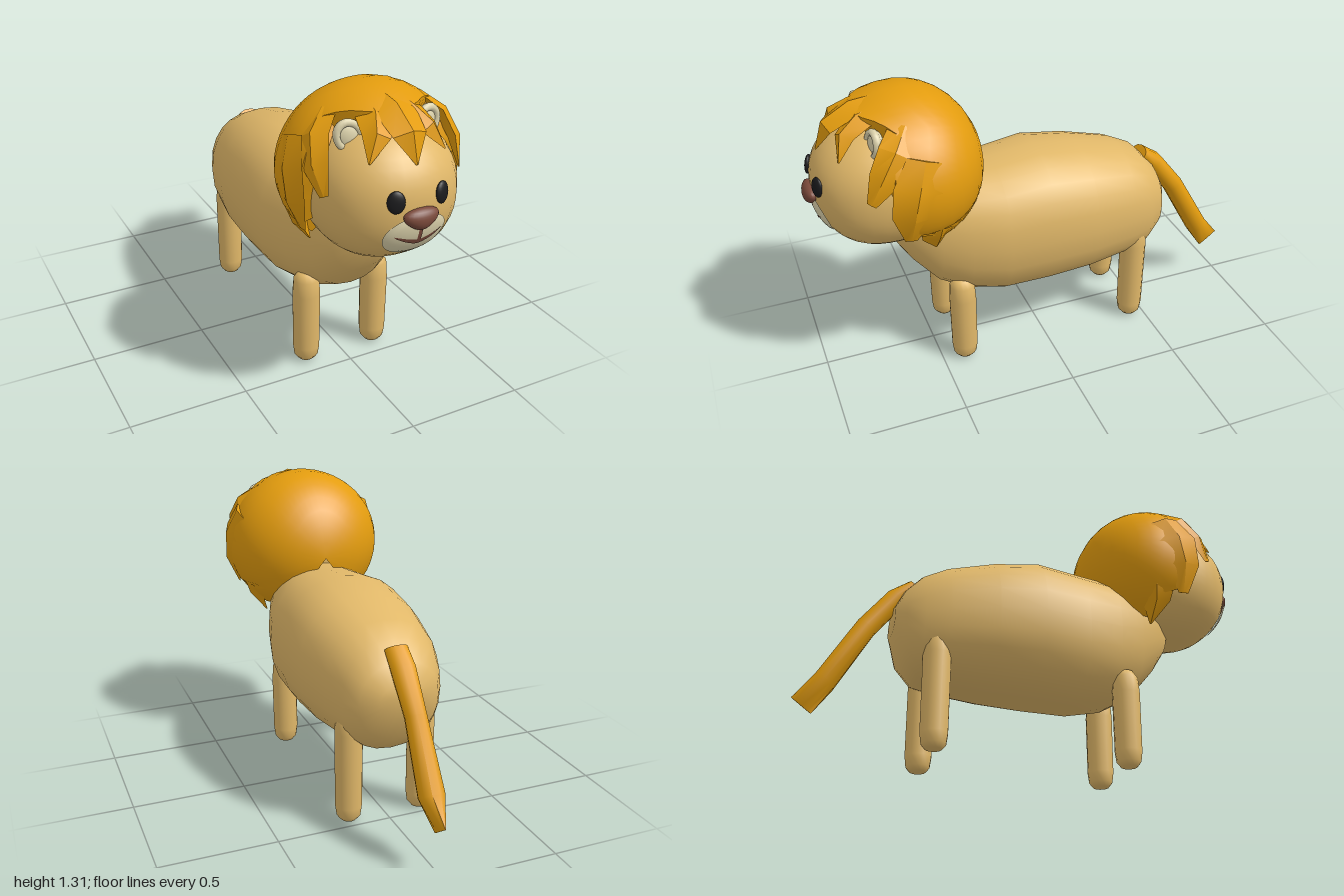
import * as THREE from 'three';
import { mergeVertices, toCreasedNormals } from 'three/addons/utils/BufferGeometryUtils.js';

const V = (x, y, z) => new THREE.Vector3(x, y, z);
const mat = (name, color, side = THREE.FrontSide) => {
  const m = new THREE.MeshStandardMaterial({ color, side });
  m.name = name;
  return m;
};

// Head: ellipsoid, rounder on top and boxier toward the chin
const HEAD = { y: 0.94, z: 0.66, rx: 0.29, ry: 0.275, rz: 0.3 };
const boxiness = v => 2.2 - 0.2 * v;
const headZ = (x, y) => {
  const v = (y - HEAD.y) / HEAD.ry, p = boxiness(v);
  const k = 1 - Math.abs(x / HEAD.rx) ** p - Math.abs(v) ** p;
  return HEAD.z + HEAD.rz * Math.max(k, 0) ** (1 / p);
};

// Front edge of the mane: angle from the crown, reach forward (both radians)
const RIM = [[0, 2.15], [0.3, 2.05], [0.5, 1.88], [0.7, 1.74], [0.95, 1.82], [1.3, 1.86],
  [1.6, 1.8], [1.9, 1.76], [2.08, 1.74], [2.2, 1.4], [2.53, 1.42]];
const rimAt = a => {
  const i = Math.max(1, RIM.findIndex(q => q[0] >= a - 1e-6));
  const [a0, r0] = RIM[i - 1], [a1, r1] = RIM[i];
  return r0 + (r1 - r0) * (a - a0) / (a1 - a0);
};

// Moves every vertex by a rule and recomputes smooth normals
function reshape(geo, rule) {
  const p = geo.attributes.position;
  for (let i = 0; i < p.count; i++) {
    const q = rule(V().fromBufferAttribute(p, i));
    p.setXYZ(i, q.x, q.y, q.z);
  }
  geo.deleteAttribute('uv');
  geo.deleteAttribute('normal');
  const g = mergeVertices(geo, 1e-5);
  g.computeVertexNormals();
  return g;
}

// Skins a list of closed rings and caps both ends
function loft(rings) {
  const n = rings[0].length, pos = [], idx = [];
  rings.flat().forEach(v => pos.push(v.x, v.y, v.z));
  for (let i = 0; i < rings.length - 1; i++)
    for (let j = 0; j < n; j++) {
      const a = i * n + j, b = i * n + (j + 1) % n;
      idx.push(a, b, b + n, a, b + n, a + n);
    }
  [0, rings.length - 1].forEach(r => {
    const c = rings[r].reduce((s, v) => s.add(v), V(0, 0, 0)).divideScalar(n);
    const ci = pos.length / 3;
    pos.push(c.x, c.y, c.z);
    for (let j = 0; j < n; j++) {
      const a = r * n + j, b = r * n + (j + 1) % n;
      r ? idx.push(ci, a, b) : idx.push(ci, b, a);
    }
  });
  const g = new THREE.BufferGeometry();
  g.setAttribute('position', new THREE.Float32BufferAttribute(pos, 3));
  g.setIndex(idx);
  g.computeVertexNormals();
  return g;
}

// Sweeps an elliptical section along points; widths and depths are half sizes
function sweep(points, widths, depths, sides, hub) {
  const curve = new THREE.CatmullRomCurve3(points);
  const last = points.length - 1;
  return loft(points.map((p, i) => {
    const t = curve.getTangent(i / last);
    const n = p.clone().sub(hub);
    n.addScaledVector(t, -n.dot(t)).normalize();
    const u = n.clone().cross(t);
    return Array.from({ length: sides }, (_, j) => {
      const a = j / sides * Math.PI * 2;
      return p.clone().addScaledVector(u, Math.cos(a) * widths[i]).addScaledVector(n, Math.sin(a) * depths[i]);
    });
  }));
}

export function createModel() {
  const model = new THREE.Group();
  const fur = mat('tan fur', 0xe1b869);
  const hair = mat('golden mane', 0xe39c0e, THREE.DoubleSide);
  const cream = mat('cream', 0xddd3ac);
  const black = mat('black', 0x1b1b1d);
  const brown = mat('brown', 0x7b4a3b);
  const add = (name, geo, m, parent = model) => {
    const o = new THREE.Mesh(geo, m);
    o.name = name;
    parent.add(o);
    return o;
  };

  // Body: z, centre height, half height, half width
  const sections = [
    [-0.61, 0.6, 0.06, 0.1], [-0.57, 0.575, 0.165, 0.175], [-0.5, 0.575, 0.24, 0.22],
    [-0.4, 0.59, 0.272, 0.258], [-0.2, 0.605, 0.306, 0.297], [0, 0.615, 0.326, 0.308],
    [0.2, 0.6, 0.315, 0.292], [0.36, 0.61, 0.295, 0.25], [0.48, 0.635, 0.255, 0.205],
    [0.58, 0.68, 0.18, 0.15], [0.65, 0.7, 0.09, 0.07],
  ];
  const soft = v => Math.sign(v) * Math.abs(v) ** 0.88;
  add('body', loft(sections.map(([z, y, h, w]) => Array.from({ length: 24 }, (_, j) => {
    const a = j / 24 * Math.PI * 2;
    return V(soft(Math.cos(a)) * w, y + soft(Math.sin(a)) * h, z);
  }))), fur);

  // Legs
  const leg = (name, x, z, h) => {
    const pts = [[0, 0], [0.035, 0.004], [0.052, 0.025], [0.058, 0.07], [0.06, h - 0.1], [0.055, h - 0.03], [0.035, h], [0, h + 0.005]];
    add(name, new THREE.LatheGeometry(pts.map(q => new THREE.Vector2(...q)), 14), fur).position.set(x, 0, z);
  };
  for (const s of [1, -1]) {
    leg('frontLeg', s * 0.165, 0.395, 0.43);
    leg('backLeg', s * 0.165, -0.437, 0.51);
  }

  // Tail, ending in a wedge
  const tailPath = [V(0, 0.785, -0.53), V(0, 0.72, -0.6), V(0, 0.57, -0.717), V(0, 0.3, -0.872), V(0, 0.19, -0.953)];
  add('tail', toCreasedNormals(sweep(tailPath, [0.052, 0.054, 0.046, 0.057, 0.002],
    [0.03, 0.046, 0.047, 0.05, 0.055], 10, V(0, 0.2, -0.45)), 1.1), hair);

  // Head
  add('head', reshape(new THREE.SphereGeometry(1, 32, 22), d => {
    const p = boxiness(d.y), flat = Math.hypot(d.x, d.z) || 1;
    const x = d.x / flat, z = d.z / flat;
    const k = Math.max(1 - Math.abs(d.y) ** p, 0) ** (1 / p) * (Math.abs(x) ** p + Math.abs(z) ** p || 1) ** (-1 / p);
    return V(x * k * HEAD.rx, HEAD.y + d.y * HEAD.ry, HEAD.z + z * k * HEAD.rz);
  }), fur);

  // Mane shell: open dome from the back of the head, rim tucked inward
  const rows = 11;
  add('maneShell', toCreasedNormals(reshape(new THREE.PlaneGeometry(1, 1, 44, rows), q => {
    const th = q.x * 2 * 2.53, row = Math.round((0.5 - q.y) * rows);
    const ph = rimAt(Math.abs(th)) * Math.min(row / (rows - 1), 1);
    const c = Math.cos(ph), r = Math.sin(ph) * (row === rows ? 0.8 : 1);
    return V(0.362 * r * Math.sin(th), 0.955 + 0.015 * Math.sin(ph) + 0.342 * r * Math.cos(th),
      0.57 - c * (c > 0 ? 0.325 : 0.4) + (row === rows ? 0.02 : 0));
  }), 0.8), hair);

  // Mane locks: path, half widths, half depth
  const hub = V(0, 0.96, 0.6);
  const lock = (name, pts, w, d) => add(name, toCreasedNormals(
    sweep(pts.map(p => V(...p)), w, [d * 0.7, d, d, 0.003], 4, hub), 0.5), hair);
  lock('fringeMiddle', [[0, 1.28, 0.62], [0, 1.255, 0.76], [0, 1.195, 0.865], [0, 1.1, 0.92]],
    [0.06, 0.085, 0.07, 0.004], 0.032);
  for (const s of [1, -1]) {
    const side = (name, pts, w, d) => lock(name, pts.map(([x, y, z]) => [s * x, y, z]), w, d);
    side('fringeSide', [[0.05, 1.28, 0.62], [0.075, 1.235, 0.75], [0.11, 1.19, 0.82], [0.16, 1.11, 0.86]],
      [0.06, 0.07, 0.052, 0.004], 0.03);
    side('templeLock', [[0.2, 1.235, 0.6], [0.275, 1.17, 0.66], [0.3, 1.08, 0.72], [0.292, 0.975, 0.775]],
      [0.06, 0.07, 0.06, 0.02], 0.024);
    side('cheekLock', [[0.31, 1.14, 0.56], [0.345, 1.03, 0.6], [0.34, 0.91, 0.625], [0.308, 0.785, 0.635]],
      [0.07, 0.1, 0.085, 0.025], 0.03);
    side('neckLock', [[0.32, 0.95, 0.49], [0.3, 0.86, 0.51], [0.262, 0.76, 0.52], [0.21, 0.66, 0.51]],
      [0.08, 0.095, 0.065, 0.004], 0.03);

    // Ears: rounded back with a raised rim
    const ear = new THREE.Group();
    ear.name = 'ear';
    ear.position.set(s * 0.165, 1.168, 0.712);
    ear.rotation.set(-0.1, s * 0.15, s * -0.55);
    add('earBack', new THREE.SphereGeometry(1, 18, 12), cream, ear).scale.set(0.05, 0.062, 0.026);
    add('earRim', new THREE.TorusGeometry(0.045, 0.014, 8, 22), cream, ear).scale.set(1, 1.18, 1.2);
    ear.children[1].position.z = 0.012;
    model.add(ear);

    // Eyes
    const eye = add('eye', new THREE.SphereGeometry(1, 18, 12), black);
    eye.scale.set(0.034, 0.043, 0.014);
    eye.position.set(s * 0.097, 0.985, headZ(0.097, 0.985) + 0.002);
    eye.rotation.set(-0.12, s * 0.38, 0);
  }

  // Muzzle: padded patch that follows the face
  const muzzleZ = (x, y) => {
    const r2 = Math.min((x / 0.133) ** 2 + ((y - 0.833) / 0.09) ** 2, 1);
    return headZ(x, y) + 0.003 + 0.012 * Math.sqrt(1 - r2);
  };
  add('muzzle', reshape(new THREE.RingGeometry(0.001, 1, 36, 7), q => {
    const x = q.x * 0.133, y = 0.833 + q.y * 0.09;
    return V(x, y, muzzleZ(x, y));
  }), cream);

  // Nose: wide on top, narrowing downward
  add('nose', reshape(new THREE.SphereGeometry(1, 22, 14), d =>
    V(d.x * 0.08 * (0.85 + 0.35 * d.y), 0.909 + d.y * 0.043, 0.964 + d.z * 0.034)), brown);

  // Mouth: thin strips on the muzzle, tapering to the corners
  add('mouth', reshape(new THREE.PlaneGeometry(2, 2, 20, 2), q => {
    const x = q.x * 0.1, y = 0.811 + 0.036 * Math.abs(q.x) ** 1.3 + q.y * (0.002 + 0.008 * (1 - q.x * q.x));
    return V(x, y, muzzleZ(x, y) + 0.003);
  }), brown);
  add('lipLine', reshape(new THREE.PlaneGeometry(0.016, 0.07, 2, 4), q => {
    const y = 0.845 + q.y;
    return V(q.x, y, muzzleZ(q.x, y) + 0.003);
  }), brown);

  return model;
}
